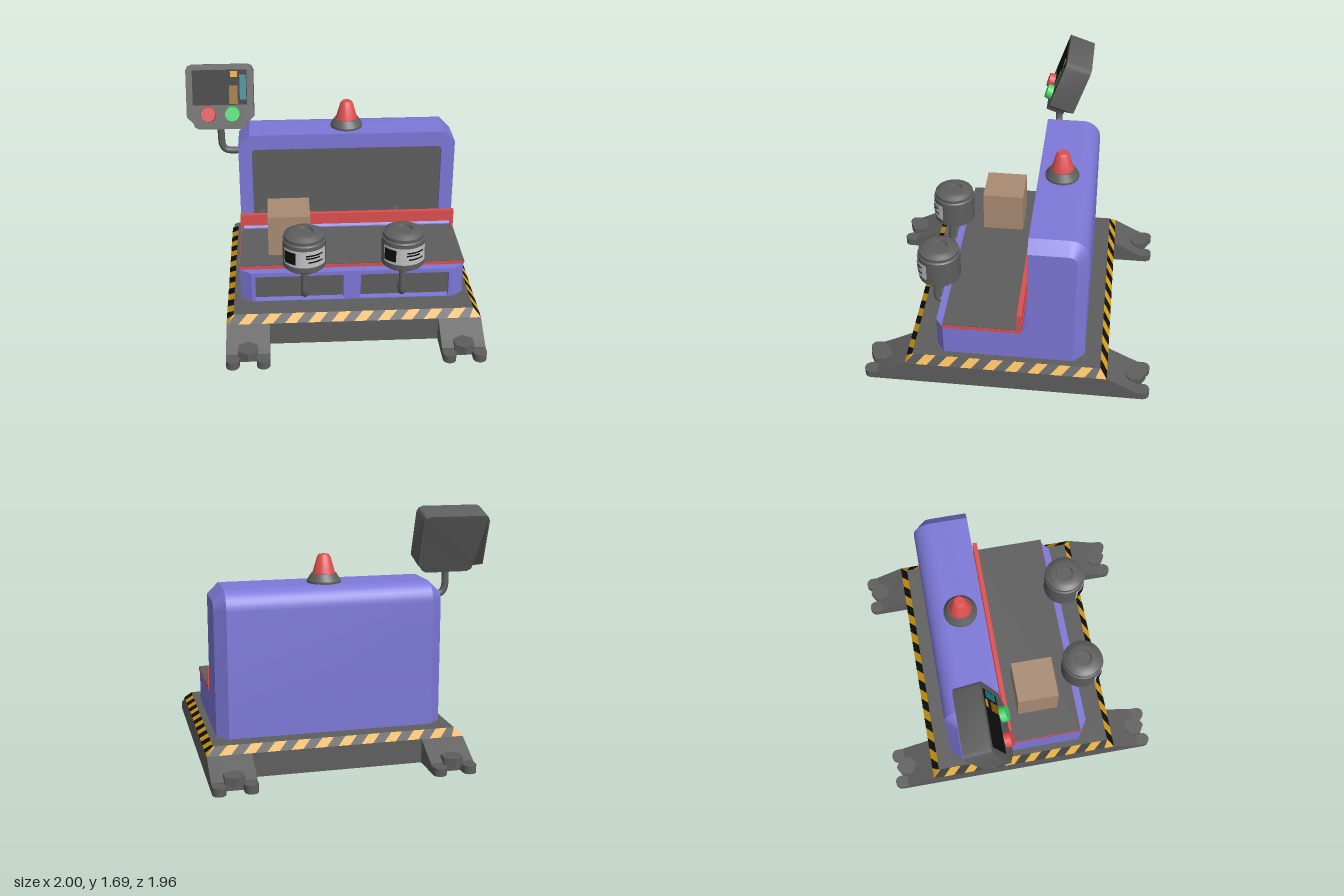
import * as THREE from 'three';
import { toCreasedNormals } from 'three/addons/utils/BufferGeometryUtils.js';

const mat = (name, color, side = THREE.FrontSide) => {
  const m = new THREE.MeshStandardMaterial({ color, side });
  m.name = name;
  return m;
};

export function createModel() {
  const model = new THREE.Group();
  model.name = 'packingStation';
  const purple = mat('purple', 0x7d78d8), grey = mat('darkGrey', 0x5e5e5e), red = mat('red', 0xdd4f4f);
  const green = mat('green', 0x46d66a), yellow = mat('hazardYellow', 0xdaa012), black = mat('black', 0x0f0f0f);
  const tan = mat('cardboard', 0xa98b73), pale = mat('labelGrey', 0xc4c4c4, THREE.DoubleSide);
  const teal = mat('teal', 0x0f7f8a), amber = mat('darkAmber', 0x8f650c);
  const ink = black;
  const CX = 0.1275; // centre line of the base

  const add = (name, geo, material, parent = model) => {
    const m = new THREE.Mesh(geo, material);
    m.name = name;
    parent.add(m);
    return m;
  };
  // Box given by its limits
  const box = (name, x0, x1, y0, y1, z0, z1, material, parent) => {
    const g = new THREE.BoxGeometry(x1 - x0, y1 - y0, z1 - z0);
    g.translate((x0 + x1) / 2, (y0 + y1) / 2, (z0 + z1) / 2);
    return add(name, g, material, parent);
  };
  const poly = pts => new THREE.Shape(pts.map(p => new THREE.Vector2(...p)));
  const rect = (x0, x1, y0, y1) => [[x0, y0], [x1, y0], [x1, y1], [x0, y1]];
  const plate = (shape, depth, z) => new THREE.ExtrudeGeometry(shape, { depth, bevelEnabled: false, curveSegments: 6 }).translate(0, 0, z);
  // Side profile (z, y) extruded between two x values
  const alongX = (pts, x0, x1) => plate(poly(pts), x1 - x0, -x1).rotateY(-Math.PI / 2);
  const lathe = (pts, seg = 32) => toCreasedNormals(new THREE.LatheGeometry(pts.map(p => new THREE.Vector2(...p)), seg), 0.5);
  const tube = (pts, r) => new THREE.TubeGeometry(new THREE.CatmullRomCurve3(pts.map(p => new THREE.Vector3(...p)), false, 'centripetal'), 24, r, 12);

  // Base and deck
  box('basePlatform', -0.745, 1, 0, 0.165, -0.69, 0.69, grey);
  box('deck', -0.697, 0.952, 0.16, 0.215, -0.642, 0.642, grey);

  // Sloping hazard border, one strip per side
  const hazard = (half, dist, count, angle) => {
    const step = 2 * half / count / 2, sets = [[], []], cl = THREE.MathUtils.clamp;
    for (let i = -2; i < count * 2; i++) {
      const s = [i, i + 1].map(k => -half + k * step);
      const [b0, b1] = s.map(v => cl(v, -half, half));
      const [t0, t1] = s.map(v => cl(v + 0.06, -half + 0.048, half - 0.048));
      const B = b => [b, 0.165, dist], T = t => [t, 0.215, dist - 0.048];
      sets[i & 1].push(...B(b0), ...B(b1), ...T(t1), ...B(b0), ...T(t1), ...T(t0));
    }
    sets.forEach((pos, k) => {
      const g = new THREE.BufferGeometry();
      g.setAttribute('position', new THREE.Float32BufferAttribute(pos, 3));
      g.rotateY(angle).translate(CX, 0, 0);
      g.computeVertexNormals();
      add(k ? 'hazardYellowStripes' : 'hazardBlackStripes', g, k ? yellow : black);
    });
  };
  for (const k of [0, 1]) {
    hazard(0.8725, 0.69, 11, k * Math.PI);
    hazard(0.69, 0.8725, 9, Math.PI / 2 + k * Math.PI);
  }

  // Four forked feet with anchor bolts
  for (const sx of [-1, 1]) for (const sz of [-1, 1]) {
    const foot = new THREE.Group();
    foot.name = 'foot';
    foot.position.x = CX + sx * 0.725;
    foot.rotation.y = sz > 0 ? 0 : Math.PI;
    model.add(foot);
    add('footWedge', alongX([[0.66, 0], [0.89, 0], [0.89, 0.06], [0.84, 0.085], [0.69, 0.165], [0.66, 0.165]], -0.1475, 0.1475), grey, foot);
    for (const s of [-1, 1]) {
      box('prong', s * 0.1025 - 0.045, s * 0.1025 + 0.045, 0, 0.055, 0.86, 0.937, grey, foot);
      add('prongTip', new THREE.CylinderGeometry(0.045, 0.045, 0.055, 20), grey, foot).position.set(s * 0.1025, 0.0275, 0.937);
    }
    add('anchorBolt', toCreasedNormals(new THREE.CylinderGeometry(0.075, 0.075, 0.06, 6), 0.3), grey, foot).position.set(0, 0.073, 0.88);
  }

  // Cabinet body: side profiles joined across the width, smaller at both ends
  const profile = (r) => {
    const p = [[0.43, 0.2], [0.43, 0.44], [-0.18, 0.44], [-0.18, 1.07 + r]];
    for (let i = 0; i <= 8; i++) {
      const a = i / 8 * Math.PI / 2;
      p.push([-0.4 - r * Math.sin(a), 1.07 + r * Math.cos(a)]);
    }
    return [...p, [-0.4 - r, 0.2]];
  };
  const rings = [[-0.65, 0.055], [-0.57, 0.13], [0.83, 0.13], [0.905, 0.055]].map(([x, r]) => profile(r).map(([z, y]) => [x, y, z]));
  const pos = [], n = rings[0].length;
  for (let k = 0; k < 3; k++) for (let i = 0; i < n; i++) {
    const a = rings[k], b = rings[k + 1], j = (i + 1) % n;
    pos.push(...a[i], ...b[i], ...b[j], ...a[i], ...b[j], ...a[j]);
  }
  const flat = rings[0].map(p => new THREE.Vector2(p[2], p[1]));
  for (const [a, b, c] of THREE.ShapeUtils.triangulateShape(flat, [])) {
    pos.push(...rings[0][a], ...rings[0][b], ...rings[0][c]);
    pos.push(...rings[3][a], ...rings[3][c], ...rings[3][b]);
  }
  const bodyGeo = new THREE.BufferGeometry();
  bodyGeo.setAttribute('position', new THREE.Float32BufferAttribute(pos, 3));
  add('cabinetBody', toCreasedNormals(bodyGeo, 0.5), purple);

  // Upper frame around the recessed back panel
  const frame = poly([[-0.65, 0.44], [0.905, 0.44], [0.905, 1.125], [0.83, 1.2], [-0.57, 1.2], [-0.65, 1.125]]);
  frame.holes.push(poly([[-0.555, 0.51], [0.81, 0.51], [0.81, 1.07], [0.79, 1.09], [-0.535, 1.09], [-0.555, 1.07]]));
  add('upperFrame', plate(frame, 0.04, -0.18), purple);
  box('backPanel', -0.56, 0.815, 0.5, 1.1, -0.182, -0.174, grey);
  add('frameFillet', alongX([[-0.15, 0.44], [-0.1, 0.44], [-0.11, 0.475], [-0.14, 0.5], [-0.15, 0.5]], -0.65, 0.905), purple);

  // Lower front with two recessed panels and chamfered corners
  const apron = poly(rect(-0.57, 0.83, 0.215, 0.44));
  apron.holes.push(poly(rect(-0.545, 0.065, 0.22, 0.41)), poly(rect(0.185, 0.8, 0.22, 0.41)));
  add('frontApron', plate(apron, 0.055, 0.43), purple);
  box('leftFrontPanel', 0.18, 0.805, 0.215, 0.415, 0.428, 0.437, grey);
  box('rightFrontPanel', -0.55, 0.07, 0.215, 0.415, 0.428, 0.437, grey);
  for (const [o, i] of [[-0.65, -0.57], [0.905, 0.83]]) {
    const wedge = plate(poly([[o, -0.43], [i, -0.43], [i, -0.485]]), 0.225, 0).rotateX(-Math.PI / 2);
    add('apronCorner', wedge, purple).position.y = 0.215;
  }

  // Worktop with red edge and rear rail
  box('worktopEdge', -0.653, 0.912, 0.443, 0.467, -0.105, 0.432, red);
  box('worktop', -0.65, 0.909, 0.466, 0.473, -0.1, 0.43, grey);
  box('rearRail', -0.653, 0.912, 0.515, 0.6, -0.105, -0.072, red);
  for (const x of [-0.653, 0.892]) box('railBracket', x, x + 0.02, 0.46, 0.52, -0.105, -0.072, red);
  for (const x of [-0.49, 0.495]) box('railClip', x - 0.02, x + 0.02, 0.5, 0.595, -0.18, -0.1, grey);
  box('parcel', -0.45, -0.155, 0.472, 0.77, 0, 0.293, tan);

  // Two canisters on bent stems, with wrapped labels
  for (const x of [-0.205, 0.467]) {
    const can = new THREE.Group();
    can.name = 'canister';
    can.position.set(x, 0, 0.517);
    model.add(can);
    add('canisterBody', lathe([[0, 0.53], [0.14, 0.53], [0.147, 0.537], [0.147, 0.73], [0.138, 0.738], [0.138, 0.762], [0.112, 0.778],
      [0.095, 0.787], [0.06, 0.787], [0.055, 0.772], [0, 0.772]]), grey, can);
    add('canisterStem', tube([[0, 0.54, 0.03], [0, 0.4, 0.03], [0, 0.33, 0.03], [0, 0.305, 0.02], [0, 0.29, -0.005], [0, 0.288, -0.04], [0, 0.288, -0.085]], 0.026), grey, can);
    const wrap = (name, r, y0, y1, a0, a1, m) => add(name, new THREE.CylinderGeometry(r, r, y1 - y0, 16, 1, true,
      THREE.MathUtils.degToRad(a0), THREE.MathUtils.degToRad(a1 - a0)).translate(0, (y0 + y1) / 2, 0), m, can);
    wrap('label', 0.153, 0.58, 0.705, -64, 64, pale);
    wrap('labelSquare', 0.156, 0.6, 0.69, -59, -24, ink);
    [[0.667, 2, 50], [0.647, 2, 40], [0.617, 8, 50]].forEach(([y, a, b]) => wrap('labelLine', 0.156, y, y + 0.011, a, b, ink));
  }

  // Warning beacon
  const beacon = new THREE.Group();
  beacon.name = 'beacon';
  beacon.position.set(0.133, 0, -0.3);
  model.add(beacon);
  add('beaconBase', lathe([[0, 1.19], [0.115, 1.19], [0.115, 1.215], [0.085, 1.262], [0, 1.262]]), grey, beacon);
  add('beaconLamp', lathe([[0.078, 1.26], [0.045, 1.375], [0.032, 1.39], [0, 1.39]]), red, beacon);

  // Tilted control head; its origin is the top front edge
  const head = new THREE.Group();
  head.name = 'controlHead';
  head.position.set(-0.765, 1.693, -0.272);
  head.rotation.x = -0.33;
  model.add(head);
  const half = [[0.19, -0.455], [0.19, -0.41], [0.235, -0.37], [0.235, -0.04], [0.222, -0.012], [0.195, 0]];
  half[0] = [0.15, -0.455];
  half.splice(1, 0, [0.18, -0.44]);
  const headGeo = plate(poly([...half, ...half.slice().reverse().map(([x, y]) => [-x, y])]), 0.185, -0.185);
  const hp = headGeo.attributes.position;
  for (let i = 0; i < hp.count; i++) if (hp.getZ(i) < -0.1 && hp.getY(i) < -0.39) hp.setZ(i, -0.125);
  headGeo.deleteAttribute('normal');
  headGeo.computeVertexNormals();
  add('headCase', toCreasedNormals(headGeo, 0.5), grey, head);
  box('screen', -0.19, 0.19, -0.285, -0.04, -0.002, 0.003, black, head);
  box('screenTealBar', 0.14, 0.185, -0.25, -0.075, 0.002, 0.005, teal, head);
  box('screenYellowBlock', 0.075, 0.125, -0.09, -0.05, 0.002, 0.005, yellow, head);
  box('screenAmberBlock', 0.065, 0.125, -0.28, -0.15, 0.002, 0.005, amber, head);
  for (const [x, m, name] of [[-0.083, red, 'stopButton'], [0.085, green, 'startButton']]) {
    const b = new THREE.CylinderGeometry(0.05, 0.055, 0.045, 24).rotateX(Math.PI / 2);
    add(name, toCreasedNormals(b, 0.5), m, head).position.set(x, -0.35, 0.02);
  }
  add('headArm', tube([[-0.768, 1.25, -0.21], [-0.768, 1.15, -0.21], [-0.762, 1.105, -0.21], [-0.74, 1.073, -0.21], [-0.705, 1.064, -0.21], [-0.63, 1.064, -0.21]], 0.025), grey);
  return model;
}
